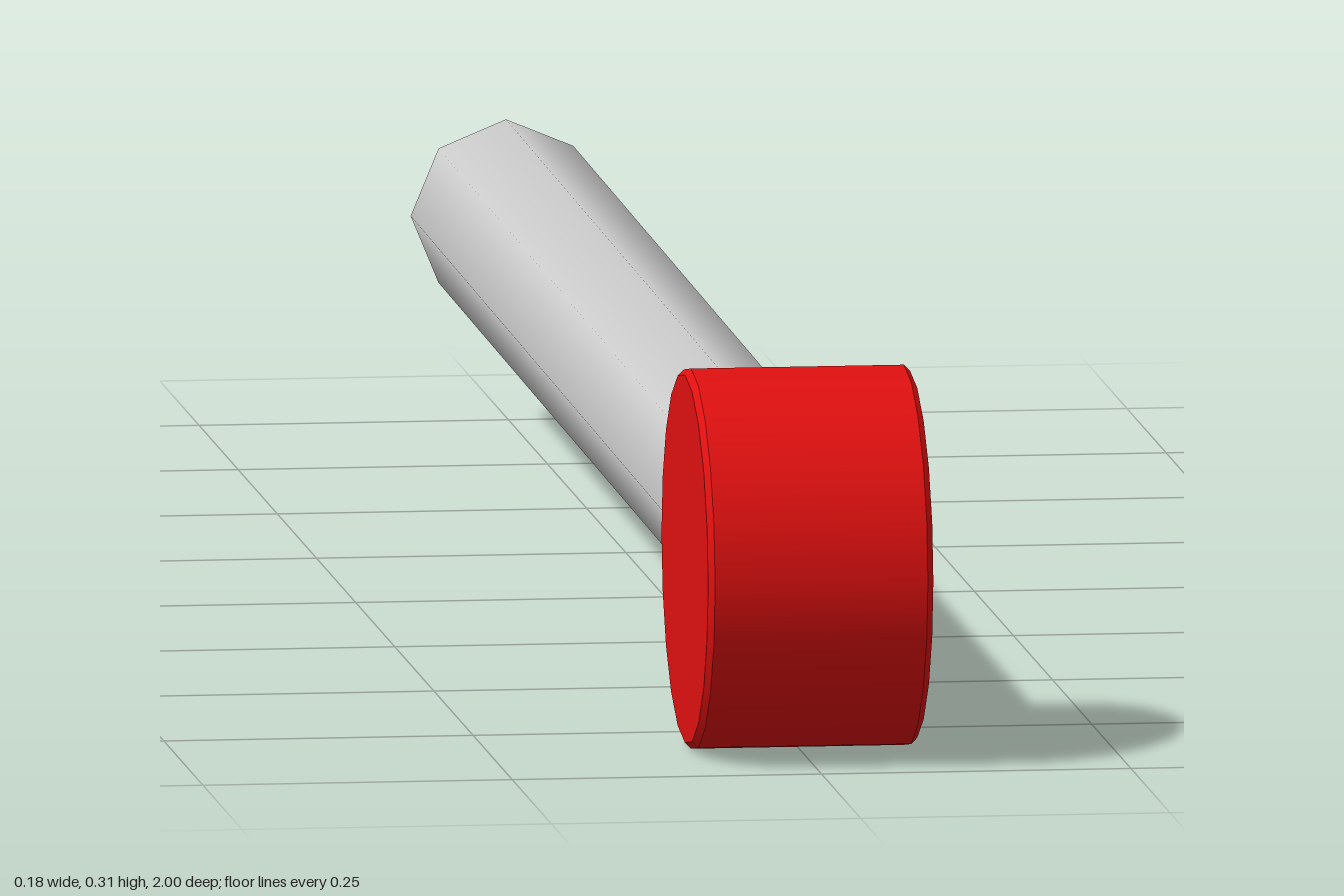
import * as THREE from 'three';
import { mergeGeometries } from 'three/addons/utils/BufferGeometryUtils.js';

// Revolves each profile segment on its own, so edges between segments stay sharp
function creasedLathe(profile, sides) {
  const parts = [];
  for (let i = 0; i < profile.length - 1; i++) {
    const pair = [profile[i], profile[i + 1]].map(([r, y]) => new THREE.Vector2(r, y));
    parts.push(new THREE.LatheGeometry(pair, sides));
  }
  return mergeGeometries(parts);
}

export function createModel() {
  const model = new THREE.Group();
  model.name = 'mallet';

  // Head: short drum lying across x, with a fine bevel at both rims
  const R = 0.154, half = 0.091, bevel = 0.005;
  const headGeometry = creasedLathe([
    [0, -half], [R - bevel, -half], [R, -half + bevel],
    [R, half - bevel], [R - bevel, half], [0, half],
  ], 20);
  headGeometry.rotateZ(Math.PI / 2);
  const head = new THREE.Mesh(headGeometry, new THREE.MeshStandardMaterial({ color: 0xe01010 }));
  head.name = 'head';
  head.position.set(0, R, 1 - R);
  model.add(head);

  // Handle: open eight-sided tube, smooth shaded, rising slightly to the back
  const frontZ = 0.8, length = frontZ + 1;
  const handleGeometry = new THREE.CylinderGeometry(0.077, 0.077, length, 8, 1, true);
  handleGeometry.rotateX(-Math.PI / 2);
  const handle = new THREE.Mesh(handleGeometry,
    new THREE.MeshStandardMaterial({ color: 0xcccccc, side: THREE.DoubleSide }));
  handle.name = 'handle';
  handle.position.set(-0.002, 0.162, frontZ - length / 2);
  handle.rotation.x = 0.005;
  model.add(handle);

  return model;
}
